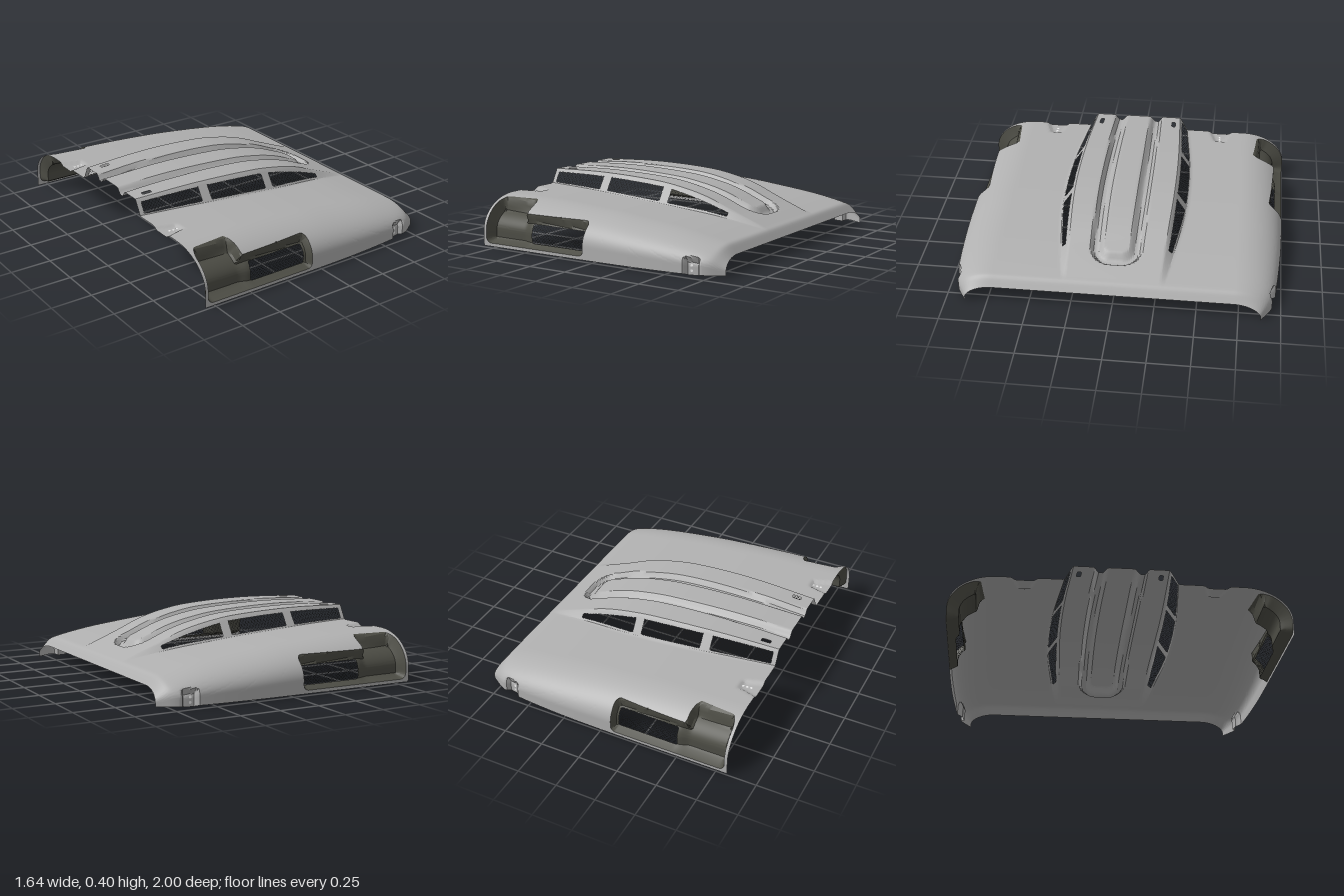
import * as THREE from 'three';
import { toCreasedNormals } from 'three/addons/utils/BufferGeometryUtils.js';

const paint = new THREE.MeshStandardMaterial({ color: 0xb0b0b0, side: THREE.DoubleSide, name: 'grey paint' });
const trim = new THREE.MeshStandardMaterial({ color: 0x4e4e46, side: THREE.DoubleSide, name: 'dark trim' });
const wire = new THREE.MeshStandardMaterial({ color: 0x3a3a38, side: THREE.DoubleSide, name: 'mesh wire' });
const pale = new THREE.MeshStandardMaterial({ color: 0xf2f2f2, side: THREE.DoubleSide, name: 'pale fastener' });

// Smooth function of x through a few [x, value] points
function curve(pts) {
  const slope = (i) => {
    const a = pts[Math.max(0, i - 1)], b = pts[Math.min(pts.length - 1, i + 1)];
    return (b[1] - a[1]) / (b[0] - a[0]);
  };
  return (x) => {
    let i = 0;
    while (i < pts.length - 2 && x > pts[i + 1][0]) i++;
    const h = pts[i + 1][0] - pts[i][0], t = (x - pts[i][0]) / h;
    const t2 = t * t, t3 = t2 * t;
    return pts[i][1] * (2 * t3 - 3 * t2 + 1) + pts[i + 1][1] * (3 * t2 - 2 * t3)
      + h * (slope(i) * (t3 - 2 * t2 + t) + slope(i + 1) * (t3 - t2));
  };
}
const ridgeY = curve([[-0.82, 0.395], [-0.4, 0.404], [0, 0.386], [0.2, 0.355], [0.35, 0.315], [0.5, 0.255], [0.73, 0.165], [0.76, 0.152], [0.82, 0.1]]);
const deckY = curve([[-0.82, 0.304], [-0.4, 0.292], [0, 0.266], [0.2, 0.245], [0.5, 0.207], [0.73, 0.163], [0.76, 0.152], [0.82, 0.1]]);
const halfWidth = curve([[-0.82, 1], [0, 0.998], [0.3, 0.99], [0.6, 0.966], [0.72, 0.94], [0.82, 0.88]]);
const rampIn = curve([[-0.82, 0.285], [-0.3, 0.312], [0.1, 0.315], [0.5, 0.295], [0.82, 0.28]]);
const rampOut = curve([[-0.82, 0.335], [-0.3, 0.39], [0.1, 0.392], [0.5, 0.345], [0.82, 0.29]]);

const { lerp, smoothstep } = THREE.MathUtils;
const ARC = 0.72, EDGE = 1.1;

// Rounded box distance, positive inside
function rbox(x, y, x0, x1, y0, y1, r) {
  const qx = Math.abs(x - (x0 + x1) / 2) - (x1 - x0) / 2 + r;
  const qy = Math.abs(y - (y0 + y1) / 2) - (y1 - y0) / 2 + r;
  return r - Math.hypot(Math.max(qx, 0), Math.max(qy, 0)) - Math.min(Math.max(qx, qy), 0);
}

// Half cross-section: v runs from the centre line, over the ridge, ramp and deck, down the flank
function base(x, v) {
  const yT = ridgeY(x), yD = deckY(x), zi = rampIn(x), zo = rampOut(x), w = halfWidth(x);
  let y = yT, z;
  if (v < 0.3) {
    z = v / 0.3 * zi;
    const f = rbox(x, z, -2, 0.635, -0.165, 0.165, 0.13); // groove round the centre rib
    y -= 0.036 * smoothstep(f, 0, 0.03) * (1 - smoothstep(f, 0.05, 0.09));
  } else if (v < 0.4) {
    const t = (v - 0.3) / 0.1;
    z = lerp(zi, zo, t);
    y = lerp(yT, yD, t);
  } else if (v < ARC) {
    z = lerp(zo, ARC, (v - 0.4) / (ARC - 0.4));
    y = yD;
  } else {
    const u = (v - ARC) / (EDGE - ARC), yb = yD * 0.33, a = Math.min(1, u / 0.78) * Math.PI / 2;
    z = ARC + (w - ARC) * Math.sin(a);
    y = u < 0.78 ? yb + (yD - yb) * Math.cos(a) : lerp(yb, 0.01, (u - 0.78) / 0.22);
  }
  const back = Math.max(0, (x - 0.76) / 0.06) * (1 - smoothstep(v, 0.72, 1));
  return new THREE.Vector3(x - 0.02 * back, y, z);
}
function normalAt(x, v) {
  const e = 0.004;
  const dx = base(x + e, v).sub(base(x - e, v));
  const dv = base(x, Math.min(EDGE, v + e)).sub(base(x, Math.max(0, v - e)));
  return dv.cross(dx).normalize();
}

// Regions of the skin
const pocket = (x, v) => {
  if (v < ARC) return -1;
  const y = base(x, v).y;
  return Math.max(rbox(x, y, -0.8, -0.53, 0.03, 0.291, 0.035), rbox(x, y, -0.72, -0.07, 0.03, 0.225, 0.03));
};
const sideVent = (x, v) => (v < ARC ? -1 : rbox(x, base(x, v).y, -0.48, -0.1, 0.052, 0.195, 0.004));
const tab = (x, v) => (v < ARC ? -1 : rbox(x, base(x, v).y, 0.597, 0.692, -0.1, 0.108, 0.015));
const hinge = (x, v) => Math.min(-0.69 - x, v - 0.52 - (x + 0.82) * 0.2, 0.66 - (x + 0.82) * 0.3 - v);
const slot = (x, v) => rbox(x, v, -0.75, -0.69, 0.24, 0.265, 0.005);
const vents = [[-0.79, -0.41, 0], [-0.345, 0.05, 0], [0.11, 0.5, 0.017]].map(([x0, x1, taper]) => {
  const lo = (x) => 0.322 + taper * (x - x0) / (x1 - x0);
  const hi = (x) => 0.388 - taper * 0.6 * (x - x0) / (x1 - x0);
  return { x0, x1, lo, hi, f: (x, v) => Math.min(x - x0, x1 - x, v - lo(x), hi(x) - v) };
});
const holes = [sideVent, slot, ...vents.map((o) => o.f)];

// Finished skin point, with the pockets pressed inwards
function point(x, v) {
  const p = base(x, v);
  let depth = 0;
  const fp = pocket(x, v), ft = tab(x, v), fh = hinge(x, v);
  if (fp > 0) depth += smoothstep(fp, 0, 0.022) * lerp(0.07, 0.048, smoothstep(x, -0.56, -0.48));
  if (ft > 0) {
    const s = smoothstep(ft, 0, 0.012);
    depth += 0.032 * s;
    p.y -= 0.01 * s;
  }
  if (fh > 0) depth += 0.018 * smoothstep(fh, 0, 0.03);
  if (depth) p.addScaledVector(normalAt(x, v), -depth);
  return p;
}

// Pull a grid node onto the edge of a nearby region
function snap(x, v, hx, hv) {
  for (const f of [pocket, ...holes]) {
    const d = f(x, v), e = 0.0005;
    if (Math.abs(d) > 0.02) continue;
    const gx = (f(x + e, v) - f(x - e, v)) / (2 * e), gv = (f(x, v + e) - f(x, v - e)) / (2 * e);
    const g = gx * gx + gv * gv;
    if (g < 0.01) continue;
    const sx = -d * gx / g, sv = -d * gv / g;
    if (Math.abs(sx) <= hx * 0.52 && Math.abs(sv) <= hv * 0.52) return [x + sx, v + sv];
  }
  return [x, v];
}

function addMesh(parent, name, positions, index, material, crease) {
  let g = new THREE.BufferGeometry();
  g.setAttribute('position', new THREE.Float32BufferAttribute(positions, 3));
  g.setIndex(index);
  if (crease) g = toCreasedNormals(g, crease);
  else g.computeVertexNormals();
  const m = new THREE.Mesh(g, material);
  m.name = name;
  parent.add(m);
}

// Diamond wire mesh laid over a mapped panel of length L and height H
function grille(parent, name, map, L, H, side) {
  const pos = [], idx = [], w = 0.0012, gap = 0.022, steps = 4;
  for (const s of [1, -1]) {
    for (let c = -H; c < L + H; c += gap) {
      const ends = [-c * s / H, (L - c) * s / H].sort((a, b) => a - b);
      const b0 = Math.max(0, ends[0]), b1 = Math.min(1, ends[1]);
      if (b1 - b0 < 0.02) continue;
      for (let k = 0; k <= steps; k++) {
        const b = lerp(b0, b1, k / steps), a = c + s * b * H, n = pos.length / 3;
        for (const o of [-w, w]) {
          const p = map(THREE.MathUtils.clamp((a + o) / L, 0, 1), b);
          pos.push(p.x, p.y, p.z * side);
        }
        if (k < steps) idx.push(n, n + 1, n + 2, n + 1, n + 3, n + 2);
      }
    }
  }
  addMesh(parent, name, pos, idx, wire);
}

export function createModel() {
  const group = new THREE.Group();
  group.name = 'engineCover';

  // Skin and pocket liners share one grid
  const NX = 150, NV = 100, hx = 1.64 / NX, hv = EDGE / NV;
  const pos = [], uv = [], skin = [], liner = [], cols = 2 * NV + 1;
  for (let i = 0; i <= NX; i++) {
    for (let j = -NV; j <= NV; j++) {
      const [x, v] = snap(-0.82 + i * hx, Math.abs(j) * hv, hx, hv);
      const p = point(x, v);
      pos.push(p.x, p.y, j < 0 ? -p.z : p.z);
      uv.push([x, v]);
    }
  }
  const face = (...t) => {
    const x = t.reduce((s, k) => s + uv[k][0], 0) / 3, v = t.reduce((s, k) => s + uv[k][1], 0) / 3;
    if (holes.some((f) => f(x, v) > 0)) return;
    (pocket(x, v) > 0 ? liner : skin).push(...t);
  };
  for (let i = 0; i < NX; i++) {
    for (let j = 0; j < cols - 1; j++) {
      const a = i * cols + j, b = a + cols;
      if (j < NV) {
        face(a, a + 1, b);
        face(a + 1, b + 1, b);
      } else {
        face(a, a + 1, b + 1);
        face(a, b + 1, b);
      }
    }
  }
  addMesh(group, 'bodySkin', pos, skin, paint, 0.5);
  addMesh(group, 'sidePockets', pos, liner, trim, 0.5);

  // Flank coordinate at a given height
  const flankV = (x, y) => {
    let lo = ARC, hi = EDGE;
    for (let k = 0; k < 20; k++) {
      const m = (lo + hi) / 2;
      if (base(x, m).y > y) lo = m;
      else hi = m;
    }
    return lo;
  };

  for (const side of [1, -1]) {
    const label = side > 0 ? 'left' : 'right';
    // Mesh in the ramp vents and in the side pocket
    vents.forEach((o, n) => grille(group, `${label}RampGrille${n + 1}`, (a, b) => {
      const x = lerp(o.x0, o.x1, a);
      return point(x, lerp(o.lo(x), o.hi(x), b));
    }, o.x1 - o.x0, 0.07, side));
    grille(group, `${label}SideGrille`, (a, b) => {
      const x = lerp(-0.48, -0.1, a);
      return point(x, flankV(x, lerp(0.052, 0.195, b)));
    }, 0.38, 0.143, side);

    // Fasteners on the hinge seats and rear tabs
    const spots = [-0.765, -0.74, -0.715].map((x) => [x, 0.585]);
    for (const y of [0.035, 0.07]) spots.push([0.637, flankV(0.637, y)]);
    for (const [x, v] of spots) {
      const n = normalAt(x, v), p = point(x, v).addScaledVector(n, 0.003);
      n.z *= side;
      p.z *= side;
      const dot = new THREE.Mesh(new THREE.CircleGeometry(0.008, 10), pale);
      dot.name = `${label}Fastener`;
      dot.position.copy(p);
      dot.quaternion.setFromUnitVectors(new THREE.Vector3(0, 0, 1), n);
      group.add(dot);
    }
  }
  return group;
}
